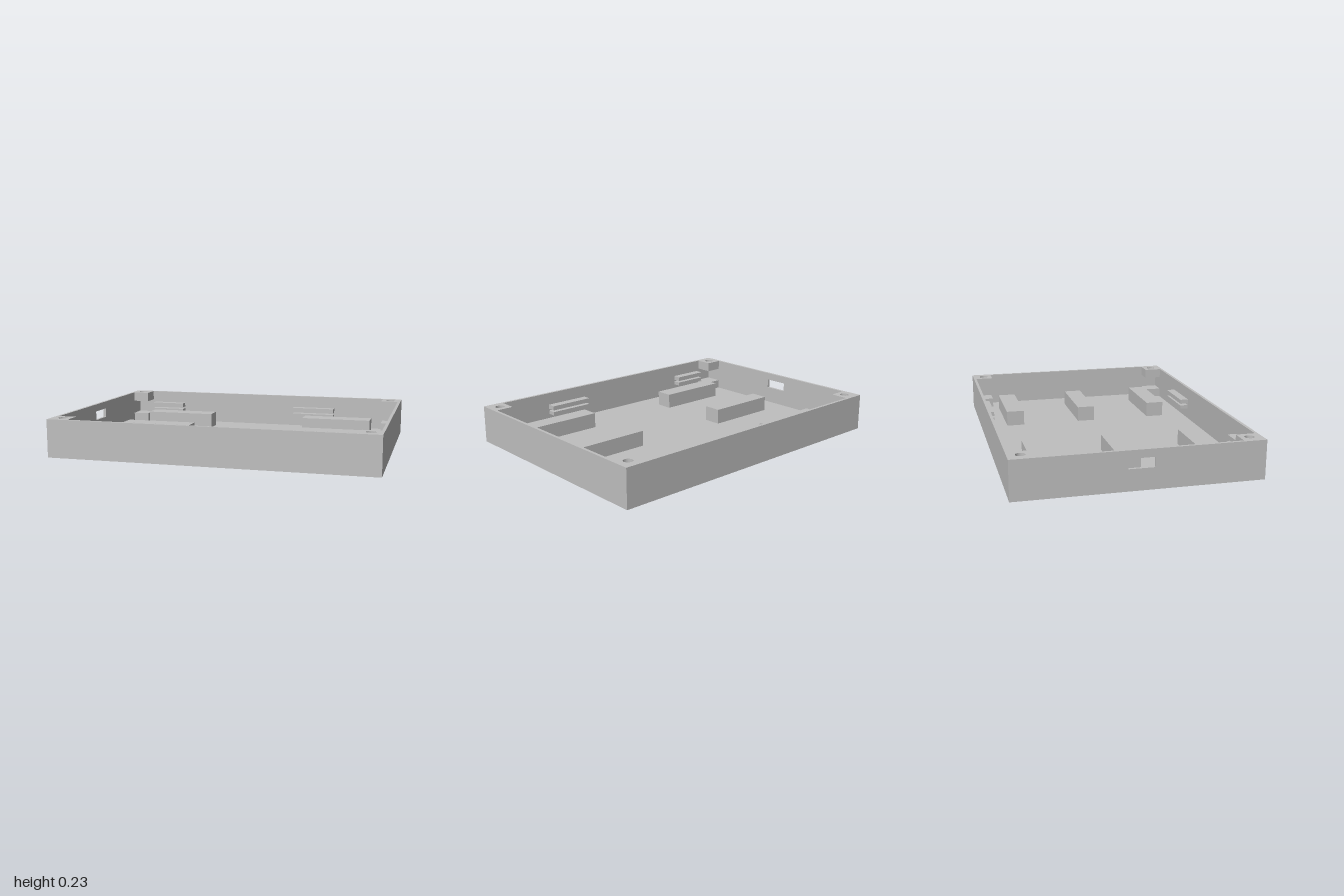
import * as THREE from 'three';

const W = 1, D = 0.725, H = 0.235; // half width, half depth, height
const T = 0.018, FLOOR = 0.02;     // wall and floor thickness

export function createModel() {
  const model = new THREE.Group();
  model.name = 'enclosureTray';
  const grey = new THREE.MeshStandardMaterial({ color: 0xbfbfbf });
  grey.name = 'light grey';

  const add = (name, geometry) => {
    const mesh = new THREE.Mesh(geometry, grey);
    mesh.name = name;
    model.add(mesh);
    return mesh;
  };
  // Box given by its extents along each axis
  const box = (name, x0, x1, y0, y1, z0, z1) =>
    add(name, new THREE.BoxGeometry(x1 - x0, y1 - y0, z1 - z0)
      .translate((x0 + x1) / 2, (y0 + y1) / 2, (z0 + z1) / 2));
  const rect = (Type, x0, x1, y0, y1) => new Type([
    new THREE.Vector2(x0, y0), new THREE.Vector2(x1, y0),
    new THREE.Vector2(x1, y1), new THREE.Vector2(x0, y1),
  ]);

  // Shell
  box('floor', -W, W, 0, FLOOR, -D, D);
  box('frontWall', -W, W, FLOOR, H, D - T, D);
  box('backWall', -W, W, FLOOR, H, -D, T - D);
  box('leftWall', W - T, W, FLOOR, H, T - D, D - T);

  // Side wall with the cable port
  const wall = rect(THREE.Shape, T - D, D - T, FLOOR, H);
  wall.holes.push(rect(THREE.Path, -0.077, 0.077, 0.128, 0.187));
  add('portWall', new THREE.ExtrudeGeometry(wall, { depth: T, bevelEnabled: false })
    .rotateY(Math.PI / 2).translate(-W, 0, 0));

  // Corner screw posts: a drilled upper block above an open nut gap and a base block
  const px = 0.87, pz = 0.592, gapLow = 0.08, gapHigh = 0.172;
  for (const sx of [-1, 1]) {
    for (const sz of [-1, 1]) {
      const xs = [sx * px, sx * (W - T)].sort((a, b) => a - b);
      const zs = [sz * pz, sz * (D - T)].sort((a, b) => a - b);
      box('postBase', xs[0], xs[1], FLOOR, gapLow, zs[0], zs[1]);
      const top = rect(THREE.Shape, xs[0], xs[1], -zs[1], -zs[0]);
      top.holes.push(new THREE.Path().absarc(sx * 0.928, -sz * 0.65, 0.028, 0, Math.PI * 2, true));
      add('postTop', new THREE.ExtrudeGeometry(top,
        { depth: H - gapHigh, bevelEnabled: false, curveSegments: 24 })
        .rotateX(-Math.PI / 2).translate(0, gapHigh, 0));
    }
  }

  // Support blocks on the floor
  for (const z of [-0.498, -0.003, 0.497]) {
    for (const [x0, x1] of [[-0.797, -0.325], [0.34, 0.808]]) {
      box('supportBlock', x0, x1, FLOOR, 0.118, z - 0.058, z + 0.058);
    }
  }

  // Paired rails on the front and back walls, with a slot between them
  for (const [x0, x1] of [[-0.85, -0.615], [0.23, 0.525]]) {
    for (const [y0, y1] of [[0.09, 0.114], [0.126, 0.155]]) {
      box('frontRail', x0, x1, y0, y1, 0.652, D - T);
      box('backRail', x0, x1, y0, y1, T - D, -0.655);
    }
  }
  return model;
}
